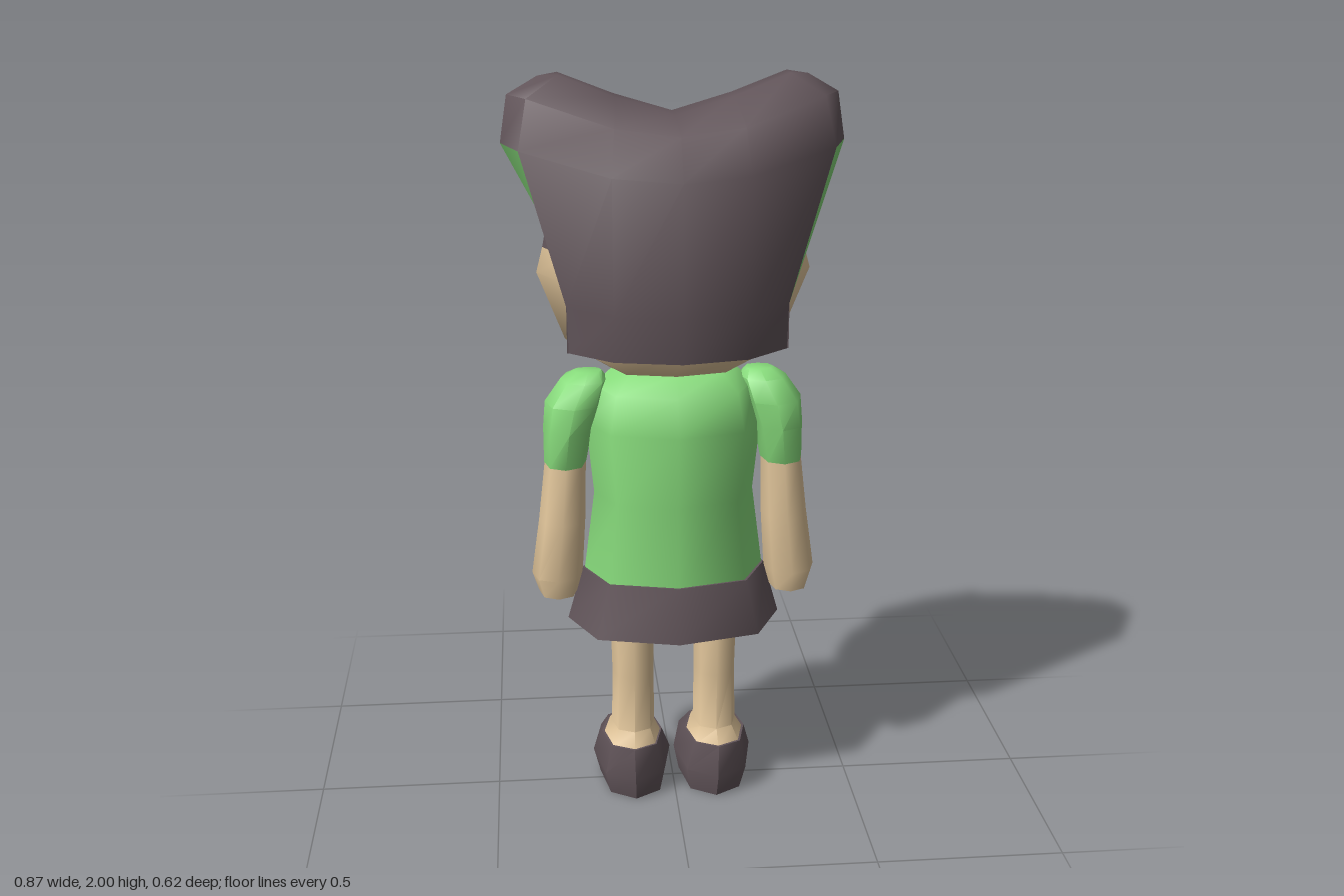
import * as THREE from 'three';
import { mergeGeometries, mergeVertices, toCreasedNormals } from 'three/addons/utils/BufferGeometryUtils.js';

const material = (name, color) => {
  const m = new THREE.MeshStandardMaterial({ color, side: THREE.DoubleSide });
  m.name = name;
  return m;
};

const mirror = pts => pts.map(([x, y, z]) => [-x, y, z]);
const reversed = pts => [...pts].reverse();
// Half outlines run from the face (-z) round the +x side to the back (+z).
const acrossFace = half => [...reversed(half), ...mirror(half.slice(1))];
const acrossBack = half => [...mirror(half), ...reversed(half).slice(1)];

// Skin rows of points (bottom to top, left to right seen from outside).
function loft(rows, closed = false) {
  const n = rows[0].length, index = [];
  for (let i = 0; i < rows.length - 1; i++) {
    for (let j = 0; j < (closed ? n : n - 1); j++) {
      const k = (j + 1) % n, a = i * n + j, b = i * n + k, c = b + n, d = a + n;
      index.push(a, b, c, a, c, d);
    }
  }
  const g = new THREE.BufferGeometry();
  g.setAttribute('position', new THREE.Float32BufferAttribute(rows.flat(2), 3));
  g.setIndex(index);
  return g;
}

function join(parts, crease = 0.95) {
  return toCreasedNormals(mergeVertices(mergeGeometries(parts), 1e-4), crease);
}

// Octagonal body part from rings of [y, xMin, xMax, zMin, zMax], optionally capped.
function limb(rings, capped = true) {
  const rows = rings.map(([y, x0, x1, z0, z1]) => Array.from({ length: 8 }, (_, k) => {
    const a = -k * Math.PI / 4, bulge = v => Math.sign(v) * Math.abs(v) ** 0.85;
    return [(x0 + x1) / 2 + bulge(Math.cos(a)) * (x1 - x0) / 2, y,
      (z0 + z1) / 2 + bulge(Math.sin(a)) * (z1 - z0) / 2];
  }));
  if (capped) {
    const point = ([y, x0, x1, z0, z1]) => Array(8).fill([(x0 + x1) / 2, y, (z0 + z1) / 2]);
    rows.unshift(point(rings[0]));
    rows.push(point(rings.at(-1)));
  }
  return join([loft(rows, true)]);
}

export function createModel() {
  const skin = material('skin', 0xe3c79c), green = material('green', 0x88dc7c);
  const dark = material('dark brown', 0x62555a), orange = material('orange face', 0xdca45a);
  const white = material('eye white', 0xd2ccc0);
  const model = new THREE.Group();
  const add = (name, geometry, mat) => {
    const mesh = new THREE.Mesh(geometry, mat);
    mesh.name = name;
    model.add(mesh);
    return mesh;
  };
  const flipX = ring => [ring[0], -ring[2], -ring[1], ring[3], ring[4]];

  // Torso, skirt and neck
  add('torso', limb([
    [0.66, -0.245, 0.245, -0.15, 0.19], [0.89, -0.215, 0.215, -0.135, 0.175],
    [1.09, -0.235, 0.235, -0.15, 0.195], [1.19, -0.215, 0.215, -0.135, 0.17],
    [1.24, -0.16, 0.16, -0.09, 0.12]]), green);
  add('skirt', limb([
    [0.52, -0.292, 0.292, -0.185, 0.225], [0.67, -0.25, 0.25, -0.155, 0.195]]), dark);
  add('neck', limb([
    [1.2, -0.11, 0.11, -0.09, 0.11], [1.28, -0.11, 0.11, -0.09, 0.11]]), skin);

  // Arms and legs on both sides
  for (const [side, place] of [['left', r => r], ['right', flipX]]) {
    const part = (name, rings, mat) => add(side + name, limb(rings.map(place)), mat);
    part('Sleeve', [
      [0.98, 0.235, 0.348, -0.06, 0.1], [1.08, 0.215, 0.348, -0.085, 0.12],
      [1.15, 0.19, 0.342, -0.08, 0.115], [1.21, 0.175, 0.3, -0.055, 0.09],
      [1.232, 0.19, 0.265, -0.01, 0.05]], green);
    part('Arm', [
      [0.605, 0.265, 0.37, -0.05, 0.09], [0.66, 0.25, 0.388, -0.06, 0.1],
      [0.82, 0.24, 0.365, -0.06, 0.1], [0.985, 0.236, 0.346, -0.059, 0.099]], skin);
    part('Leg', [
      [0.15, 0.035, 0.2, -0.11, 0.132], [0.195, 0.055, 0.175, -0.058, 0.1],
      [0.36, 0.057, 0.172, -0.055, 0.098], [0.56, 0.055, 0.177, -0.058, 0.1]], skin);
    part('Shoe', [
      [0, 0.02, 0.207, -0.2, 0.128], [0.07, 0.006, 0.226, -0.236, 0.15],
      [0.157, 0.033, 0.203, -0.115, 0.134]], dark);
  }

  // Head: half outlines at rising heights, [x, z] from nose to behind the ear
  const head = [
    [1.24, [0, -0.15], [0.09, -0.13], [0.16, -0.085], [0.17, 0.02], [0.13, 0.1]],
    [1.32, [0, -0.2], [0.15, -0.17], [0.25, -0.1], [0.285, 0.02], [0.24, 0.165]],
    [1.5, [0, -0.31], [0.18, -0.235], [0.31, -0.12], [0.355, 0.03], [0.285, 0.165]],
    [1.565, [0, -0.284], [0.178, -0.231], [0.31, -0.12], [0.338, 0.025], [0.28, 0.165]],
    [1.63, [0, -0.258], [0.175, -0.222], [0.308, -0.118], [0.325, 0.02], [0.27, 0.165]],
    [1.72, [0, -0.22], [0.16, -0.205], [0.295, -0.105], [0.31, 0.02], [0.27, 0.165]],
  ].map(([y, ...pts]) => pts.map(([x, z]) => [x, y, z]));
  const face = add('face', join([loft(head.map(r => acrossFace(r.slice(0, 3))))]), orange);
  const cheeks = rows => join([
    loft(rows.map(r => reversed(r.slice(2)))), loft(rows.map(r => mirror(r.slice(2))))]);
  add('cheeks', cheeks(head.slice(0, 4)), skin);
  add('sideburns', cheeks(head.slice(3, 5)), dark);
  const back = head.map(r => [r[4], [0, r[4][1], r[4][2] + 0.03]]);
  add('headBack', join([loft(back.map(r => acrossBack(r)))]), skin);
  const chin = head[0];
  add('chinUnderside', join([loft([
    Array(9).fill([0, 1.24, 0]), acrossFace(chin)], false)]), skin);

  // Hair: seven columns from the forehead round to the nape
  const brim = [[0, 1.77, -0.275], [0.17, 1.79, -0.23], [0.392, 1.83, -0.122], [0.437, 1.83, 0.02],
    [0.392, 1.83, 0.16], [0.17, 1.78, 0.275], [0, 1.77, 0.307]];
  const shoulder = [[0, 1.865, -0.2], [0.16, 1.89, -0.18], [0.37, 1.95, -0.075], [0.418, 1.95, 0.02],
    [0.37, 1.95, 0.115], [0.16, 1.89, 0.22], [0, 1.87, 0.235]];
  const crown = [[0, 1.9, -0.03], [0.15, 1.945, -0.025], [0.29, 2, -0.015], [0.34, 1.995, 0.02],
    [0.29, 2, 0.055], [0.15, 1.945, 0.06], [0, 1.9, 0.07]];
  const fringe = [[0, 1.61, -0.278], [0.17, 1.7, -0.232], [0.32, 1.62, -0.127]];
  const temple = [[0.32, 1.62, -0.127], [0.338, 1.64, 0.02], [0.283, 1.44, 0.165]];
  const nape = [[0.283, 1.44, 0.165], [0.17, 1.44, 0.275], [0, 1.44, 0.31]];
  const hem = [[0.28, 1.32, 0.165], [0.17, 1.32, 0.262], [0, 1.32, 0.298]];
  const around = half => [...reversed(half), ...mirror(half.slice(1, -1))];
  add('hair', join([
    loft([brim, shoulder, crown].map(around), true),
    loft([acrossBack(crown.slice(3)), reversed(acrossFace(crown.slice(0, 4)))]),
    loft([acrossFace(fringe), acrossFace(brim.slice(0, 3))]),
    loft([hem, nape, brim.slice(4)].map(acrossBack)),
  ], 1.1), dark);
  // Underside of the back hair
  add('hairUnderside', join([loft([
    [-0.28, -0.17, 0, 0.17, 0.28].map(x => [x, 1.32, 0.165]), acrossBack(hem)])]), dark);
  // Wall where the back hair meets the cheeks
  add('hairEdge', join([loft([1.32, 1.44].map(y => [[0.283, y, 0.166], [-0.283, y, 0.166]]))]), dark);
  const panel = [temple, brim.slice(2, 5)];
  add('hairSidePanels', join([loft(panel.map(reversed)), loft(panel.map(mirror))]), green);

  // Facial features, laid on the face surface
  face.updateMatrixWorld(true);
  const ray = new THREE.Raycaster(), toward = new THREE.Vector3(0, 0, 1);
  const feature = (name, geometry, x, y, lift, mat) => {
    geometry.rotateY(Math.PI).translate(x, y, 0);
    const p = geometry.attributes.position;
    for (let i = 0; i < p.count; i++) {
      ray.set(new THREE.Vector3(p.getX(i), p.getY(i), -2), toward);
      const hit = ray.intersectObject(face)[0];
      p.setZ(i, (hit ? hit.point.z : -0.2) - lift);
    }
    geometry.computeVertexNormals();
    add(name, geometry, mat);
  };
  for (const [side, s] of [['left', 1], ['right', -1]]) {
    feature(side + 'EyeWhite', new THREE.RingGeometry(0, 1, 24, 6).scale(0.088, 0.08, 1), s * 0.165, 1.463, 0.005, white);
    feature(side + 'Iris', new THREE.RingGeometry(0, 1, 20, 4).scale(0.045, 0.045, 1), s * 0.16, 1.458, 0.009, dark);
    feature(side + 'Brow', new THREE.PlaneGeometry(0.12, 0.025, 10, 2), s * 0.165, 1.573, 0.006, dark);
  }
  feature('mouth', new THREE.PlaneGeometry(0.11, 0.012, 10, 1), 0, 1.335, 0.005, dark);

  return model;
}
